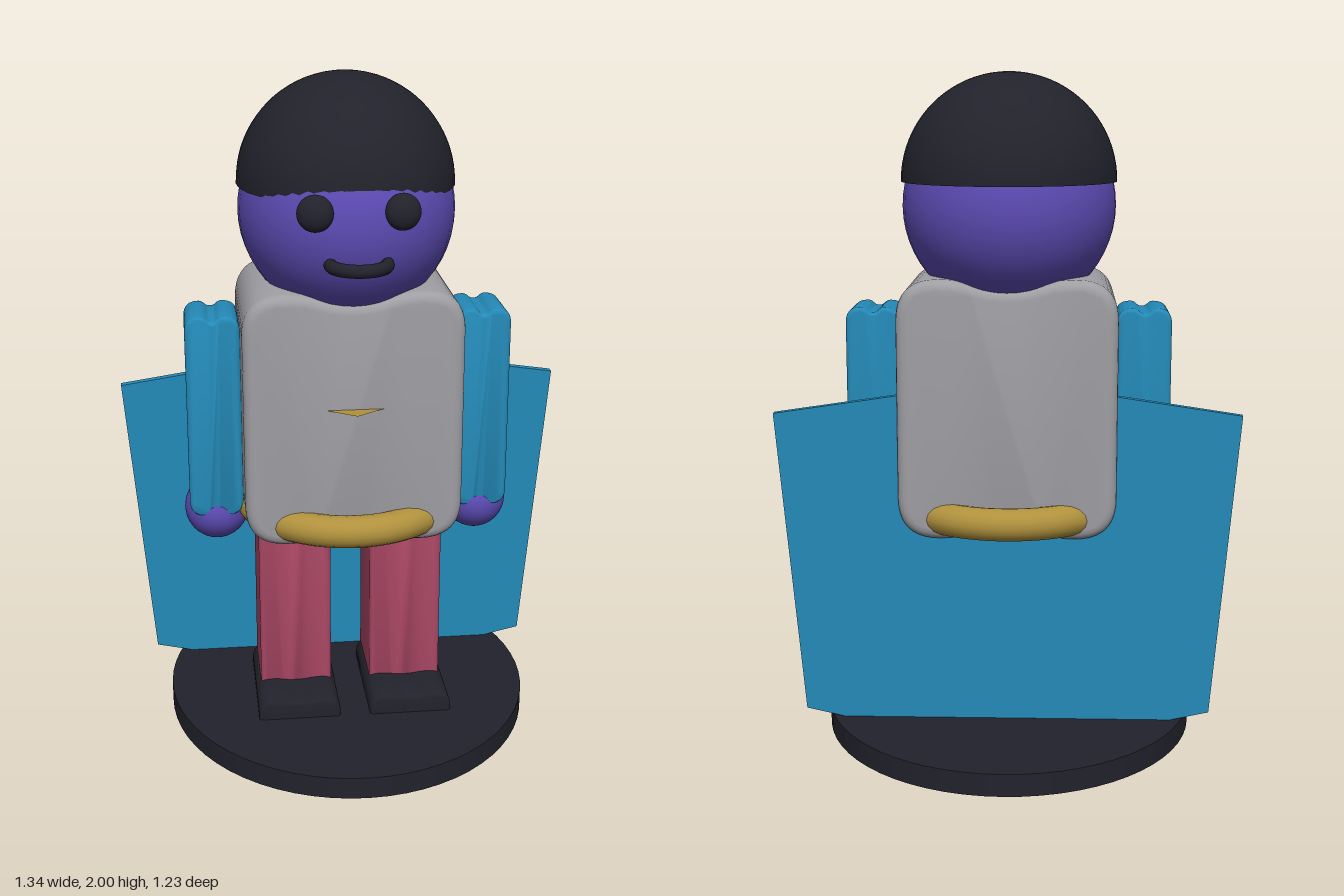
import * as THREE from 'three';
import { toCreasedNormals } from 'three/addons/utils/BufferGeometryUtils.js';

function material(name, color, side = THREE.FrontSide) {
  const m = new THREE.MeshStandardMaterial({ color, side });
  m.name = name;
  return m;
}

// Soft block: rounded rectangle whose top and bottom sag in the middle, extruded along z
function softBlock(width, height, depth, radius, dip, bevel) {
  const w = width / 2, h = height / 2, r = radius, k = (w - r) * 0.5;
  const s = new THREE.Shape();
  s.moveTo(-w, -h + r);
  s.quadraticCurveTo(-w, -h, -w + r, -h);
  s.bezierCurveTo(-w + r + k, -h, -k, -h + dip, 0, -h + dip);
  s.bezierCurveTo(k, -h + dip, w - r - k, -h, w - r, -h);
  s.quadraticCurveTo(w, -h, w, -h + r);
  s.lineTo(w, h - r);
  s.quadraticCurveTo(w, h, w - r, h);
  s.bezierCurveTo(w - r - k, h, k, h - dip, 0, h - dip);
  s.bezierCurveTo(-k, h - dip, -w + r + k, h, -w + r, h);
  s.quadraticCurveTo(-w, h, -w, h - r);
  s.closePath();
  const g = new THREE.ExtrudeGeometry(s, {
    depth: depth - 2 * bevel, bevelThickness: bevel, bevelSize: bevel,
    bevelOffset: -bevel, bevelSegments: 4, curveSegments: 10,
  });
  g.translate(0, 0, -depth / 2 + bevel);
  return toCreasedNormals(g, 0.6);
}

export function createModel() {
  const model = new THREE.Group();
  model.name = 'figurine';

  const skin = material('purple skin', 0x5d4bb4);
  const dark = material('dark charcoal', 0x22222c, THREE.DoubleSide);
  const grey = material('grey tunic', 0x9f9ea3);
  const blue = material('blue cloth', 0x248ab8);
  const red = material('crimson trousers', 0xa64562);
  const gold = material('gold', 0xb0913d, THREE.DoubleSide);

  const add = (name, geometry, mat, x = 0, y = 0, z = 0) => {
    const mesh = new THREE.Mesh(geometry, mat);
    mesh.name = name;
    mesh.position.set(x, y, z);
    model.add(mesh);
    return mesh;
  };
  const ball = (rx, ry, rz) => new THREE.SphereGeometry(1, 40, 28).scale(rx, ry, rz);

  // Oval stand
  add('stand', new THREE.CylinderGeometry(1, 1, 0.065, 64).scale(0.547, 1, 0.617), dark, 0, 0.0925, 0);

  // Head and cap of hair
  add('head', ball(0.31, 0.31, 0.35), skin, 0, 1.62, 0);
  const cap = new THREE.SphereGeometry(1, 48, 20, 0, Math.PI * 2, 0, Math.PI / 2);
  add('hair', cap.scale(0.312, 0.31, 0.35), dark, 0, 1.69, -0.02);
  add('hairUnderside', new THREE.CircleGeometry(1, 48).rotateX(Math.PI / 2).scale(0.312, 1, 0.35),
    dark, 0, 1.69, -0.02);

  // Mouth: half ring bulging forward
  add('mouth', new THREE.TorusGeometry(0.077, 0.019, 12, 24, Math.PI).rotateX(Math.PI / 2),
    dark, 0, 1.53, 0.325);

  // Torso, belt and the small flat pin on the chest
  add('torso', softBlock(0.63, 0.75, 0.49, 0.12, 0.03, 0.03), grey, 0, 1.05, 0);
  add('belt', new THREE.TorusGeometry(0.29, 0.047, 16, 64).rotateX(Math.PI / 2), gold, 0, 0.735, 0);
  const pin = new THREE.Shape([[-0.085, 0], [0.085, 0], [0, 0.06]].map(p => new THREE.Vector2(...p)));
  add('chestPin', new THREE.ShapeGeometry(pin).rotateX(Math.PI / 2), gold, 0, 1.09, 0.243);

  // Paired parts
  for (const [side, s] of [['left', 1], ['right', -1]]) {
    const eye = add(side + 'Eye', ball(0.05, 0.05, 0.035), dark, s * 0.118, 1.672, 0.328);
    eye.rotation.x = -0.15;
    eye.rotation.y = s * 0.25;
    add(side + 'Arm', softBlock(0.158, 0.61, 0.2, 0.045, 0.015, 0.012), blue, s * 0.394, 1.025, 0);
    add(side + 'Hand', ball(0.096, 0.096, 0.108), skin, s * 0.392, 0.715, 0);
    add(side + 'Leg', softBlock(0.215, 0.74, 0.255, 0.05, 0.018, 0.01), red, s * 0.167, 0.37, 0);
    add(side + 'Shoe', softBlock(0.245, 0.11, 0.385, 0.045, 0.006, 0.01), dark, s * 0.167, 0.127, 0.08);
  }

  // Flared cape plate behind the body
  const cape = new THREE.Shape();
  cape.moveTo(-0.67, 1.04);
  cape.lineTo(-0.593, 0.15);
  cape.lineTo(-0.06, 0.031);
  cape.quadraticCurveTo(0, 0.015, 0.06, 0.031);
  cape.lineTo(0.593, 0.15);
  cape.lineTo(0.67, 1.04);
  cape.lineTo(0, 1.14);
  cape.closePath();
  add('cape', new THREE.ExtrudeGeometry(cape, { depth: 0.025, bevelEnabled: false }), blue, 0, 0, -0.22);

  return model;
}
